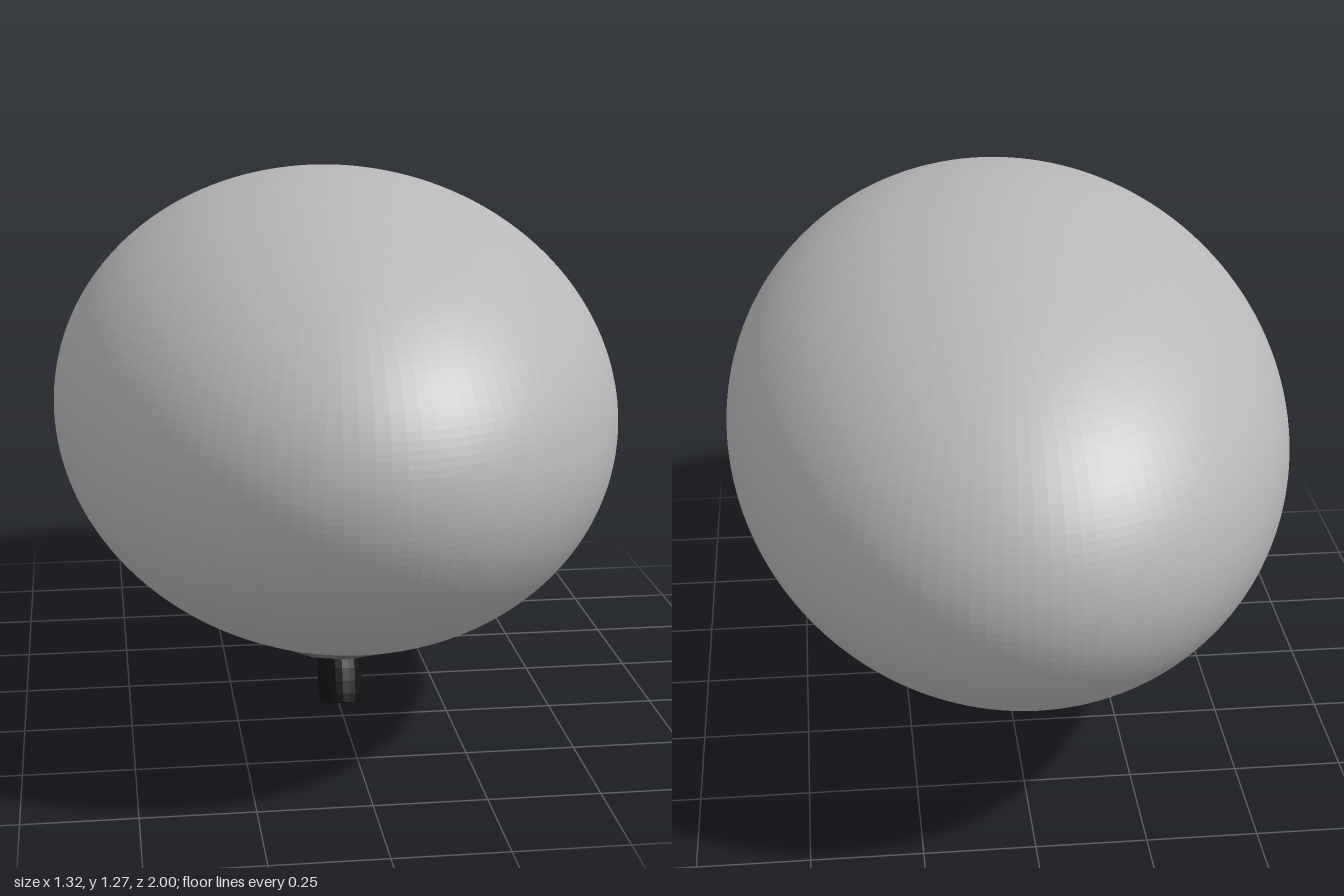
import * as THREE from 'three';

const shellGrey = new THREE.MeshStandardMaterial({ color: 0xb8b8b8, flatShading: true });
shellGrey.name = 'shellGrey';
const baseGrey = new THREE.MeshStandardMaterial({ color: 0x707070, flatShading: true });
baseGrey.name = 'baseGrey';
const rubberBlack = new THREE.MeshStandardMaterial({ color: 0x111111, flatShading: true });
rubberBlack.name = 'rubberBlack';

// Closed turned shape from [radius, height] pairs, bottom to top
function turned(name, pairs, sides, material) {
  const points = pairs.map(([r, y]) => new THREE.Vector2(r, y));
  const mesh = new THREE.Mesh(new THREE.LatheGeometry(points, sides), material);
  mesh.name = name;
  return mesh;
}

export function createModel() {
  const model = new THREE.Group();
  model.name = 'model';

  // Ellipsoid body, finely faceted
  const body = new THREE.Mesh(new THREE.SphereGeometry(1, 128, 96), shellGrey);
  body.name = 'body';
  body.scale.set(0.66, 0.545, 1);
  body.position.y = 0.725;
  model.add(body);

  // Oval base plate with a bevelled lower rim
  const base = turned('basePlate', [
    [0, 0.165], [0.86, 0.165], [0.93, 0.17], [0.975, 0.185], [1, 0.22], [0, 0.22],
  ], 16, baseGrey);
  base.scale.set(0.215, 1, 0.34);
  model.add(base);

  // Two barrel-shaped pegs splayed forward and back
  for (const side of [1, -1]) {
    const peg = turned(side > 0 ? 'frontPeg' : 'backPeg', [
      [0, 0], [0.048, 0], [0.051, 0.02], [0.053, 0.05],
      [0.053, 0.08], [0.050, 0.115], [0.043, 0.15], [0.038, 0.18], [0, 0.18],
    ], 20, rubberBlack);
    peg.position.set(0, 0.022, side * 0.216);
    peg.rotation.x = -side * 0.41;
    model.add(peg);
  }
  return model;
}
